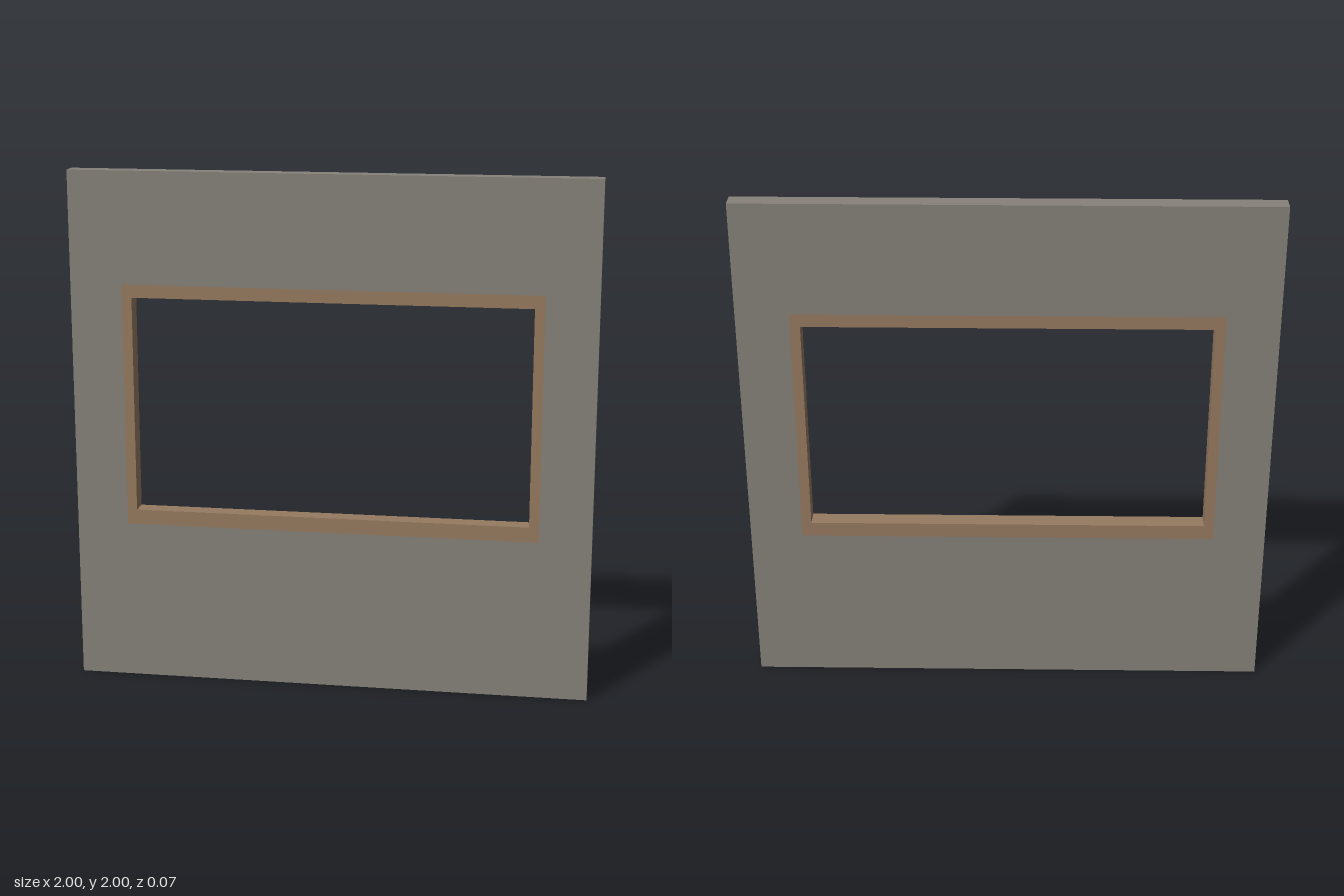
import * as THREE from 'three';

const DEPTH = 0.07;

// Rectangle outline as a closed path or shape
function rect(target, x, y0, y1) {
  target.moveTo(-x, y0);
  target.lineTo(x, y0);
  target.lineTo(x, y1);
  target.lineTo(-x, y1);
  target.closePath();
  return target;
}

// Flat slab with a rectangular opening, centred on z = 0
function slab(name, outer, inner, material) {
  const shape = rect(new THREE.Shape(), ...outer);
  shape.holes.push(rect(new THREE.Path(), ...inner));
  const geometry = new THREE.ExtrudeGeometry(shape, { depth: DEPTH, bevelEnabled: false });
  geometry.translate(0, 0, -DEPTH / 2);
  const mesh = new THREE.Mesh(geometry, material);
  mesh.name = name;
  return mesh;
}

export function createModel() {
  const plaster = new THREE.MeshStandardMaterial({ color: 0x86827a });
  plaster.name = 'grey plaster';
  const wood = new THREE.MeshStandardMaterial({ color: 0x967a60 });
  wood.name = 'brown wood';

  // [half width, bottom, top] of each outline
  const wallEdge = [1, 0, 2];
  const frameEdge = [0.8, 0.625, 1.57];
  const opening = [0.762, 0.683, 1.52];

  const group = new THREE.Group();
  group.name = 'windowWall';
  // The frame sits flush inside the wall opening
  group.add(slab('wall', wallEdge, frameEdge, plaster));
  group.add(slab('windowFrame', frameEdge, opening, wood));
  return group;
}
